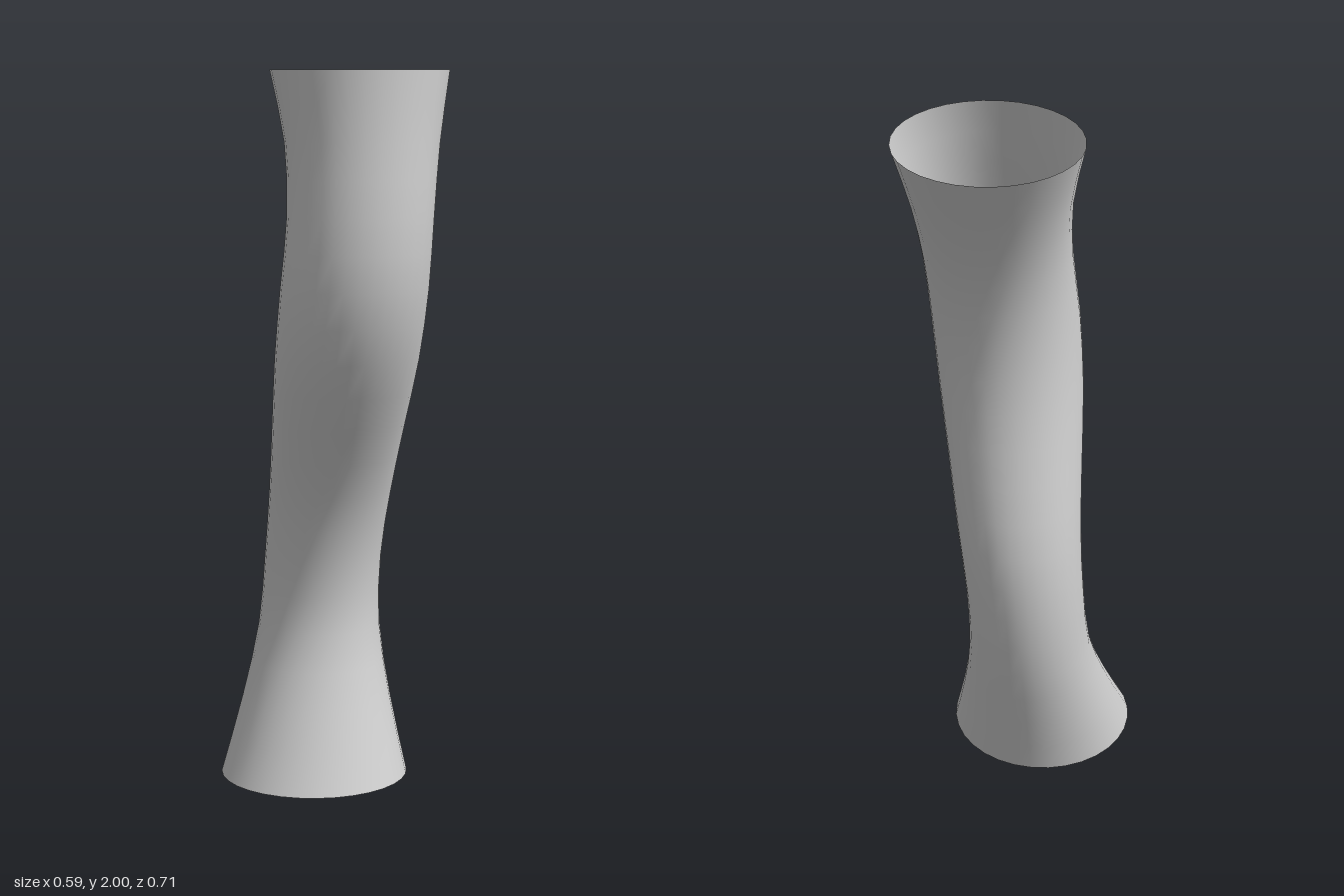
import * as THREE from 'three';
import { mergeVertices } from 'three/addons/utils/BufferGeometryUtils.js';

const HEIGHT = 2;

// Horizontal circular sections, evenly spaced from bottom to top: centre x, centre z, radius
const SECTIONS = [
  [-0.022, 0.092, 0.267],
  [-0.075, 0.025, 0.215],
  [-0.117, -0.032, 0.177],
  [-0.119, -0.051, 0.170],
  [-0.085, -0.046, 0.177],
  [-0.020, -0.010, 0.190],
  [0.047, 0.027, 0.204],
  [0.083, 0.035, 0.208],
  [0.078, 0.005, 0.206],
  [0.037, -0.047, 0.219],
  [-0.020, -0.100, 0.255],
];

// Open tube: a unit cylinder whose rings are scaled and shifted along the section curve
function twistedTube(sides, rings) {
  const curve = new THREE.CatmullRomCurve3(
    SECTIONS.map((s) => new THREE.Vector3(...s)), false, 'catmullrom', 0.5);
  let geometry = new THREE.CylinderGeometry(1, 1, 1, sides, rings, true);
  const pos = geometry.attributes.position;
  const section = new THREE.Vector3();
  for (let i = 0; i < pos.count; i++) {
    const t = THREE.MathUtils.clamp(pos.getY(i) + 0.5, 0, 1);
    curve.getPoint(t, section);
    pos.setXYZ(i,
      section.x + section.z * pos.getX(i),
      t * HEIGHT,
      section.y + section.z * pos.getZ(i));
  }
  // Weld the seam so the shading runs smoothly all the way round
  geometry.deleteAttribute('uv');
  geometry.deleteAttribute('normal');
  geometry = mergeVertices(geometry);
  geometry.computeVertexNormals();
  return geometry;
}

export function createModel() {
  const group = new THREE.Group();
  group.name = 'windingTube';
  const material = new THREE.MeshStandardMaterial({ color: 0xcccccc, side: THREE.DoubleSide });
  const tube = new THREE.Mesh(twistedTube(32, 20), material);
  tube.name = 'tubeWall';
  group.add(tube);
  return group;
}
